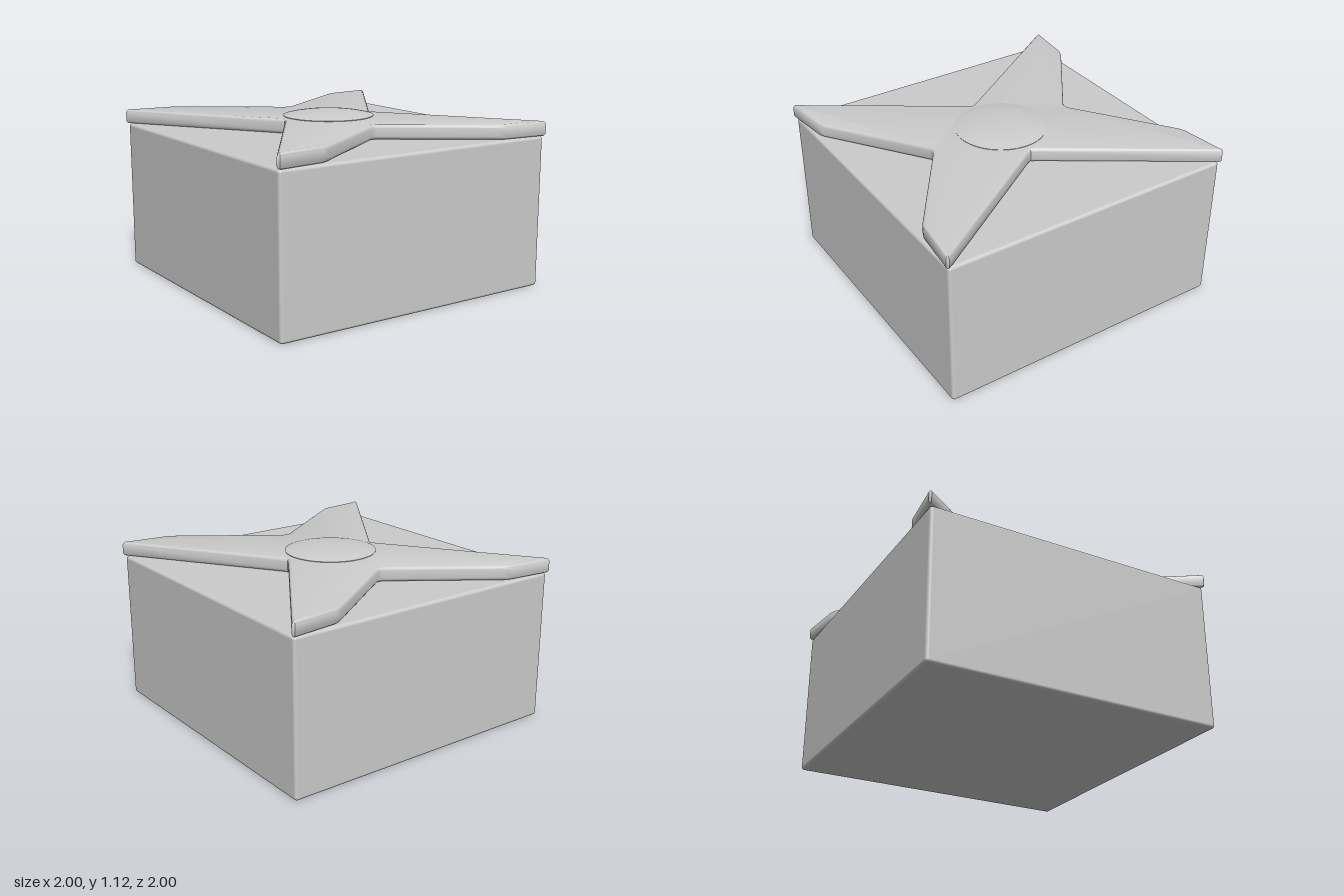
import * as THREE from 'three';
import { RoundedBoxGeometry } from 'three/addons/geometries/RoundedBoxGeometry.js';
import { toCreasedNormals } from 'three/addons/utils/BufferGeometryUtils.js';

const material = new THREE.MeshStandardMaterial({ color: 0xcccccc });

function addPart(group, name, geometry, y) {
  const mesh = new THREE.Mesh(geometry, material);
  mesh.name = name;
  mesh.position.y = y;
  group.add(mesh);
}

// Four-pointed star outline, one quarter mirrored into all four
function starShape() {
  const notch = [[0.32, 0.025], [0.345, 0], [0.32, -0.025]];
  const side = [
    [0.02, 0.512], [0.64, 0.945], [0.68, 0.962], [0.985, 0.998], [0.998, 0.985], [0.355, 0.03],
  ];
  const right = [
    ...side.map(([x, y]) => [x, -y]),
    [0.34, 0],
    ...side.slice().reverse(),
  ];
  const outline = [...right, ...right.map(([x, y]) => [-x, -y])];
  return new THREE.Shape(outline.map(([x, y]) => new THREE.Vector2(x, y)));
}

export function createModel() {
  const model = new THREE.Group();
  model.name = 'boxWithStarLid';

  // Solid base block with softened edges
  const height = 0.99;
  addPart(model, 'base', new RoundedBoxGeometry(1.964, height, 1.964, 4, 0.02), height / 2);

  // Star plate with rounded rims; the bevel stays inside the outline
  const bevel = 0.022, thickness = 0.095;
  const plate = new THREE.ExtrudeGeometry(starShape(), {
    depth: thickness - 2 * bevel,
    bevelThickness: bevel,
    bevelSize: bevel,
    bevelOffset: -bevel,
    bevelSegments: 4,
  });
  plate.rotateX(-Math.PI / 2);
  addPart(model, 'starPlate', toCreasedNormals(plate, 0.7), height + bevel);

  // Shallow domed button in the middle
  const profile = [new THREE.Vector2(0.29, -0.01), new THREE.Vector2(0.296, 0.004)];
  for (let i = 1; i <= 10; i++) {
    const r = 0.296 * (1 - i / 10);
    profile.push(new THREE.Vector2(r, 0.004 + 0.031 * (1 - (r / 0.296) ** 2.4)));
  }
  addPart(model, 'button', toCreasedNormals(new THREE.LatheGeometry(profile, 64), 0.6), height + thickness);

  return model;
}
